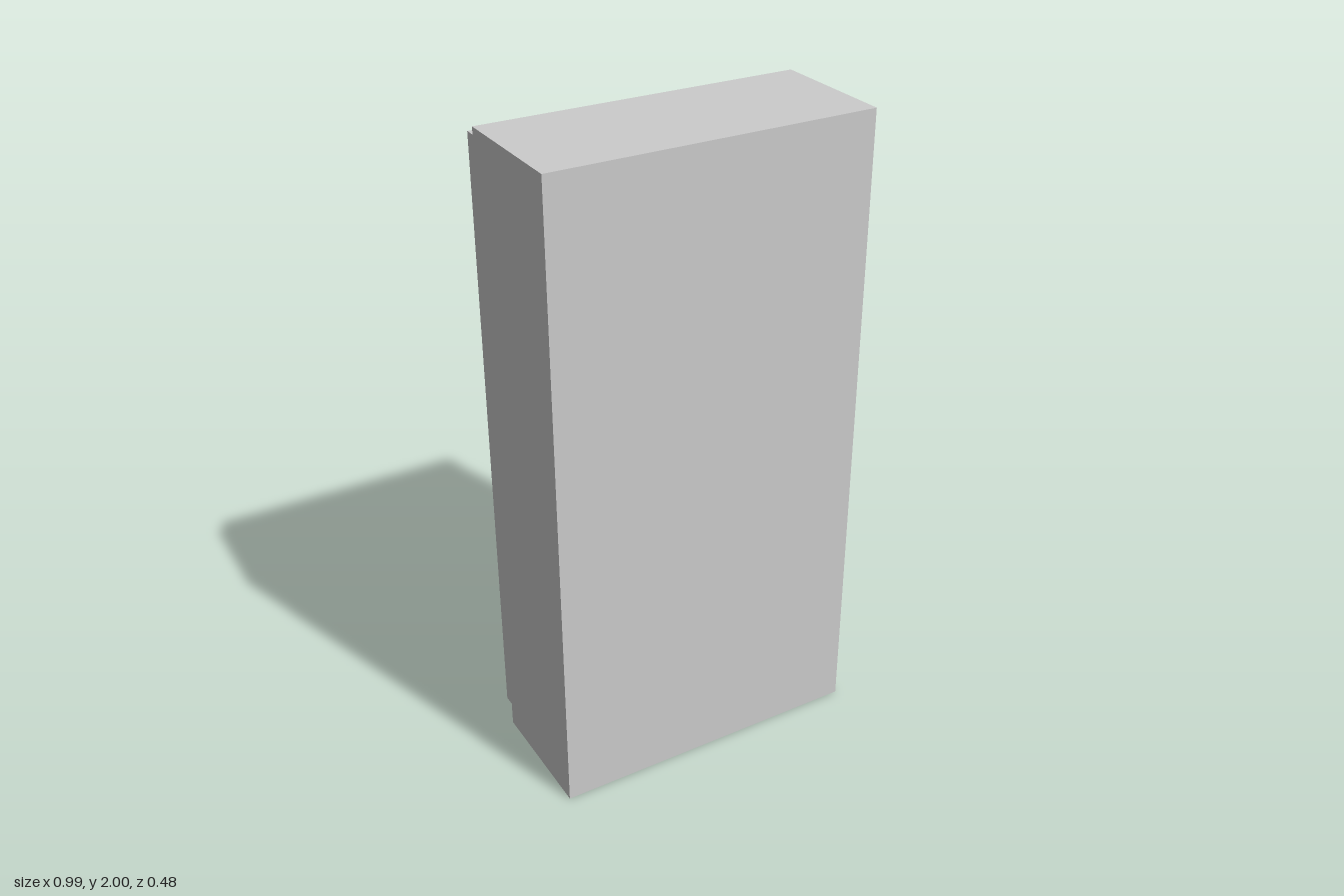
import * as THREE from 'three';

const material = new THREE.MeshStandardMaterial({ color: 0xcccccc, flatShading: true });

// Add a rectangle to a shape or hole path
function rectangle(path, x0, y0, x1, y1) {
  path.moveTo(x0, y0);
  path.lineTo(x1, y0);
  path.lineTo(x1, y1);
  path.lineTo(x0, y1);
  path.closePath();
  return path;
}

// Flat plate with rectangular holes, extruded from z0 to z1
function plate(name, outline, holes, z0, z1) {
  const shape = rectangle(new THREE.Shape(), ...outline);
  for (const hole of holes) shape.holes.push(rectangle(new THREE.Path(), ...hole));
  const geometry = new THREE.ExtrudeGeometry(shape, { depth: z1 - z0, bevelEnabled: false });
  geometry.translate(0, 0, z0);
  const mesh = new THREE.Mesh(geometry, material);
  mesh.name = name;
  return mesh;
}

export function createModel() {
  const group = new THREE.Group();
  group.name = 'locker';

  const width = 0.497;      // half width of the body
  const doorWidth = 0.48;   // half width of the door
  const seam = -0.165;      // plane where door and body meet
  const innerFront = 0.165; // inside of the closed panel
  const body = [-width, 0, width, 2];

  // Hollow body: surrounding walls and the closed panel
  group.add(plate('bodyWalls', body, [[-0.477, 0.04, 0.477, 1.96]], seam, innerFront));
  group.add(plate('closedPanel', body, [], innerFront, 0.24));

  // Door with two ventilation slots
  const slots = [1.595, 1.7].map((y) => [-0.293, y, 0.293, y + 0.07]);
  group.add(plate('door', [-doorWidth, 0.04, doorWidth, 1.963], slots, -0.24, seam));

  return group;
}
